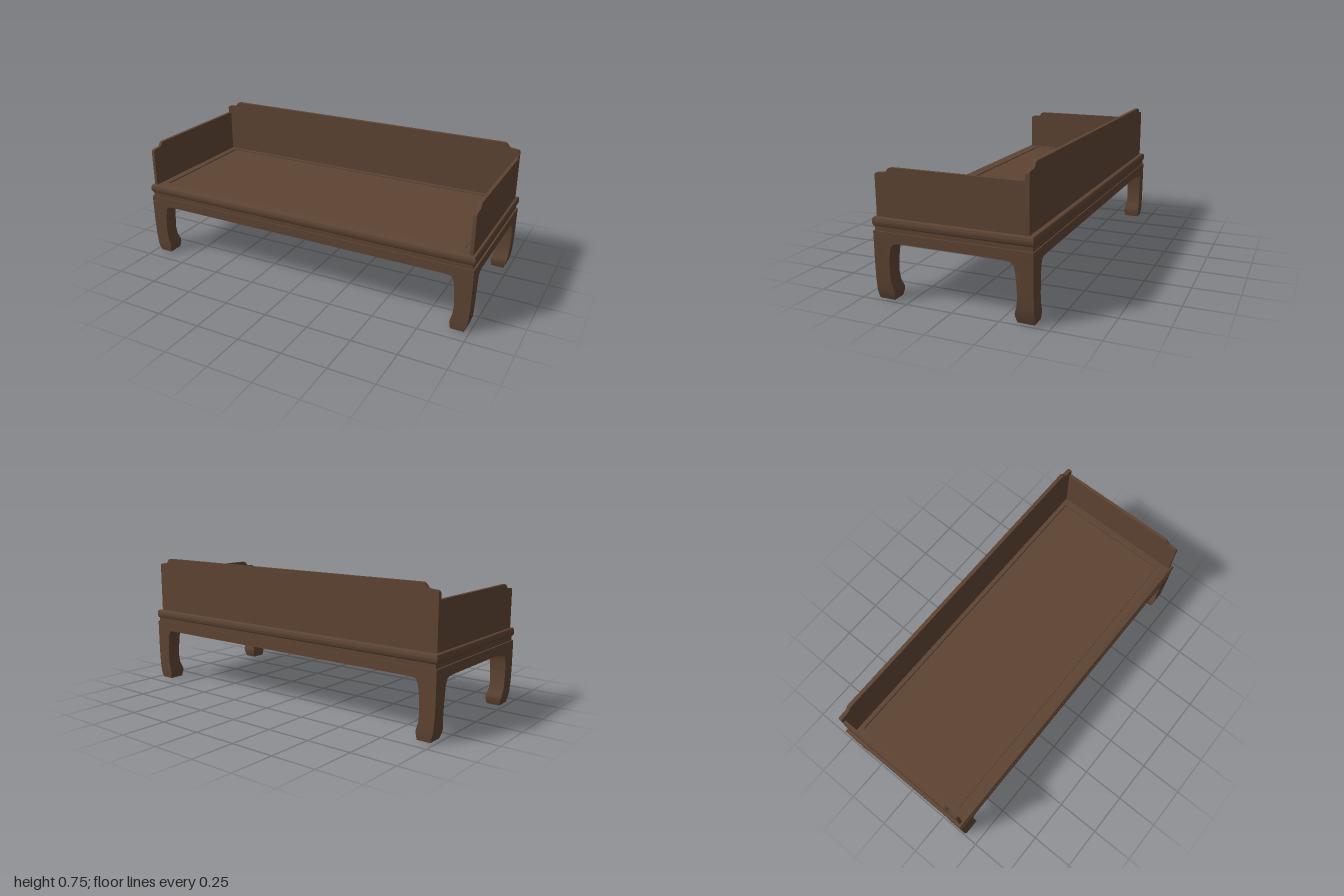
import * as THREE from 'three';
import { toCreasedNormals } from 'three/addons/utils/BufferGeometryUtils.js';

const wood = new THREE.MeshStandardMaterial({ color: 0x5d4433 });
wood.name = 'dark walnut';

function part(parent, name, geometry) {
  const mesh = new THREE.Mesh(geometry, wood);
  mesh.name = name;
  parent.add(mesh);
  return mesh;
}

// Joins rectangular sections [y, xMin, xMax, zMin, zMax] from bottom to top
function loft(sections, capped) {
  const pos = [];
  const rings = sections.map(([y, x0, x1, z0, z1]) =>
    [[x0, y, z0], [x1, y, z0], [x1, y, z1], [x0, y, z1]]);
  const quad = (a, b, c, d) => pos.push(...a, ...b, ...c, ...a, ...c, ...d);
  for (let i = 0; i < rings.length - 1; i++) {
    for (let k = 0; k < 4; k++) {
      const n = (k + 1) % 4;
      quad(rings[i][n], rings[i][k], rings[i + 1][k], rings[i + 1][n]);
    }
  }
  if (capped) {
    const top = rings[rings.length - 1];
    quad(...rings[0]);
    quad(top[0], top[3], top[2], top[1]);
  }
  const g = new THREE.BufferGeometry();
  g.setAttribute('position', new THREE.Float32BufferAttribute(pos, 3));
  return toCreasedNormals(g, 0.6);
}

// Mitred rectangular frame from a profile of [y, half width, half depth]
const frame = (profile) => loft(profile.map(([y, x, z]) => [y, -x, x, -z, z]), false);

function slab(shape, depth) {
  const g = new THREE.ExtrudeGeometry(shape, { depth, bevelEnabled: false, curveSegments: 8 });
  return toCreasedNormals(g, 0.6);
}

// Board with a bracket-shaped shoulder of height drop; the far end may be plain
function boardShape(u0, u1, top, drop, bothEnds) {
  const s = new THREE.Shape();
  const low = top - drop;
  s.moveTo(u0, 0.427);
  s.lineTo(u1, 0.427);
  s.lineTo(u1, low - 0.018);
  s.quadraticCurveTo(u1, low - 0.004, u1 - 0.014, low - 0.002);
  s.lineTo(u1 - 0.05, low + 0.001);
  s.bezierCurveTo(u1 - 0.072, low + 0.003, u1 - 0.068, top, u1 - 0.092, top);
  if (bothEnds) {
    s.lineTo(u0 + 0.092, top);
    s.bezierCurveTo(u0 + 0.068, top, u0 + 0.072, low + 0.003, u0 + 0.05, low + 0.001);
    s.lineTo(u0 + 0.014, low - 0.002);
    s.quadraticCurveTo(u0, low - 0.004, u0, low - 0.018);
  } else {
    s.lineTo(u0, top);
  }
  s.closePath();
  return s;
}

// Apron whose lower edge curves down into the legs at u = +-a
function apronShape(a, reach) {
  const s = new THREE.Shape();
  s.moveTo(-a - 0.02, 0.358);
  s.lineTo(-a - 0.02, 0.2);
  s.lineTo(-a, 0.2);
  s.bezierCurveTo(-a + 0.01, 0.31, -a + 0.015, 0.303, -a + reach, 0.306);
  s.lineTo(a - reach, 0.306);
  s.bezierCurveTo(a - 0.015, 0.303, a - 0.01, 0.31, a, 0.2);
  s.lineTo(a + 0.02, 0.2);
  s.lineTo(a + 0.02, 0.358);
  s.closePath();
  return s;
}

export function createModel() {
  const model = new THREE.Group();
  model.name = 'daybed';

  // Legs: y, outer x, inner x, outer z, inner z
  const legProfile = [
    [0, 0.973, 0.899, 0.418, 0.333],
    [0.017, 0.979, 0.897, 0.42, 0.328],
    [0.035, 0.984, 0.894, 0.422, 0.324],
    [0.05, 0.987, 0.895, 0.422, 0.324],
    [0.07, 0.99, 0.901, 0.422, 0.33],
    [0.09, 0.992, 0.907, 0.422, 0.336],
    [0.135, 0.995, 0.911, 0.422, 0.34],
    [0.2, 0.997, 0.909, 0.422, 0.338],
    [0.358, 0.998, 0.909, 0.422, 0.338],
  ];
  for (const sx of [-1, 1]) {
    for (const sz of [-1, 1]) {
      const rows = legProfile.map(([y, xo, xi, zo, zi]) => [
        y, Math.min(sx * xo, sx * xi), Math.max(sx * xo, sx * xi),
        Math.min(sz * zo, sz * zi), Math.max(sz * zo, sz * zi)]);
      part(model, (sz > 0 ? 'front' : 'back') + (sx > 0 ? 'Left' : 'Right') + 'Leg', loft(rows, true));
    }
  }

  // Aprons, as thick as the legs
  const longApron = slab(apronShape(0.909, 0.06), 0.0837);
  const shortApron = slab(apronShape(0.338, 0.09), 0.0887);
  part(model, 'frontApron', longApron).position.z = 0.3378;
  part(model, 'backApron', longApron).position.z = -0.4215;
  for (const s of [-1, 1]) {
    const m = part(model, s > 0 ? 'leftApron' : 'rightApron', shortApron);
    m.rotation.y = Math.PI / 2;
    m.position.x = s > 0 ? 0.9088 : -0.9975;
  }

  // Recessed waist between the aprons and the seat rail
  part(model, 'waist', frame([
    [0.356, 0.909, 0.338], [0.356, 0.989, 0.416], [0.384, 0.989, 0.416],
    [0.39, 0.909, 0.338], [0.356, 0.909, 0.338]]));

  // Seat rail with a rounded outer edge
  const rail = [[0.382, 0.925, 0.35]];
  for (let i = 0; i <= 10; i++) {
    const a = -Math.PI / 2 + Math.PI * i / 10;
    const out = 0.009 * Math.cos(a);
    rail.push([0.4055 + 0.0235 * Math.sin(a), 0.991 + out, 0.415 + out]);
  }
  rail.push([0.429, 0.925, 0.35], [0.382, 0.925, 0.35]);
  part(model, 'seatRail', frame(rail));

  // Sunken seat panel with a narrow groove around its raised field
  const base = part(model, 'seatPanelBase', new THREE.BoxGeometry(1.852, 0.026, 0.702));
  base.position.y = 0.402;
  const field = part(model, 'seatPanel', new THREE.BoxGeometry(1.842, 0.012, 0.692));
  field.position.y = 0.419;

  // Back and side boards
  part(model, 'backBoard', slab(boardShape(-0.983, 0.983, 0.753, 0.03, true), 0.021)).position.z = -0.396;
  const sideBoard = slab(boardShape(-0.376, 0.406, 0.677, 0.027, false), 0.018);
  for (const s of [-1, 1]) {
    const m = part(model, s > 0 ? 'leftBoard' : 'rightBoard', sideBoard);
    m.rotation.y = -Math.PI / 2;
    m.position.x = s > 0 ? 0.983 : -0.965;
  }
  return model;
}
